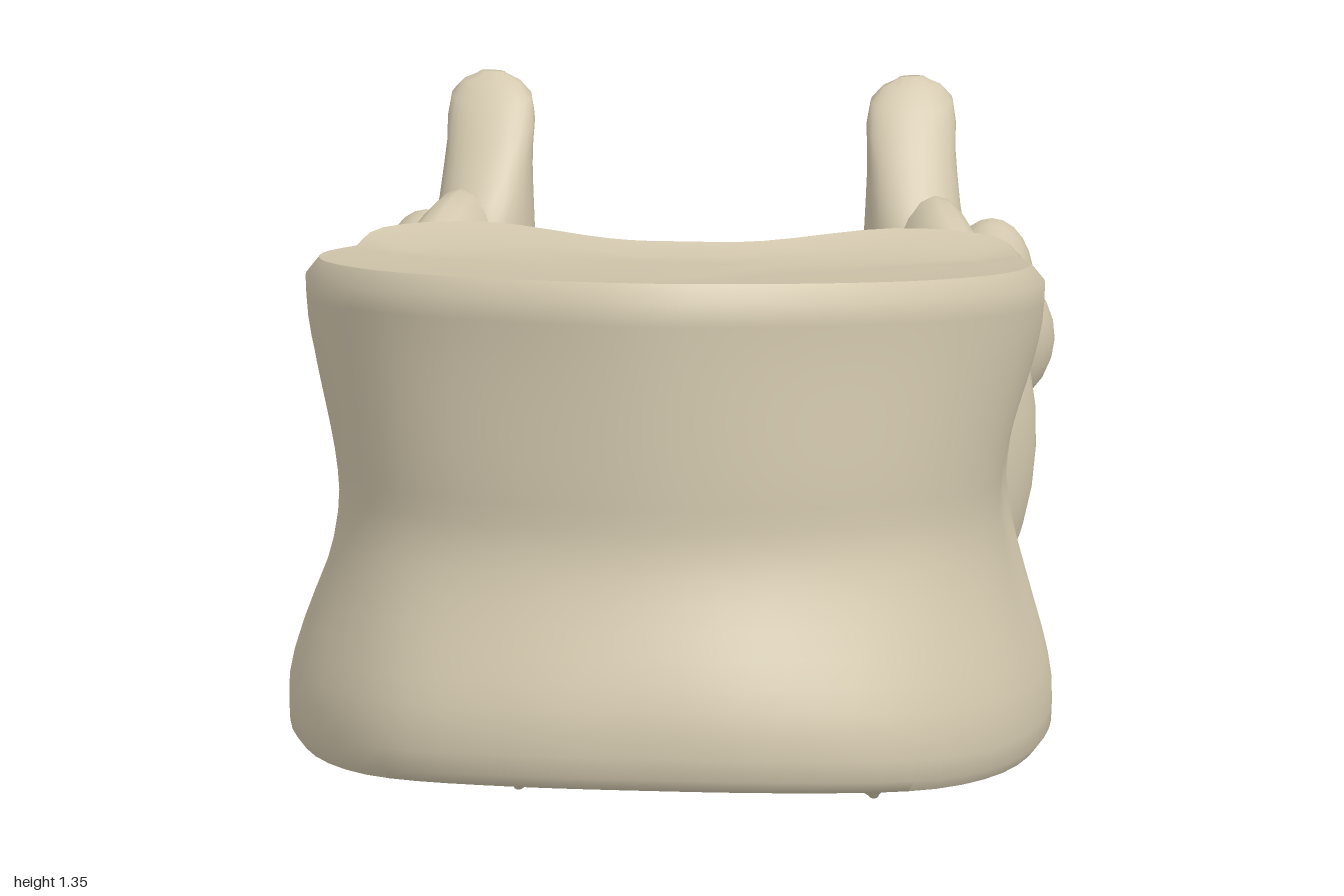
import * as THREE from 'three';
import { toCreasedNormals } from 'three/addons/utils/BufferGeometryUtils.js';

const V = (x, y, z) => new THREE.Vector3(x, y, z);

// Skin a list of closed rings, close both ends, and make the faces point outwards
function loft(rings, crease = 0.8) {
  const n = rings[0].length, pts = rings.flat(), idx = [];
  for (let r = 0; r < rings.length - 1; r++) {
    for (let i = 0; i < n; i++) {
      const j = (i + 1) % n, a = r * n, b = a + n;
      idx.push(a + i, a + j, b + j, a + i, b + j, b + i);
    }
  }
  [0, rings.length - 1].forEach((r) => {
    const mid = V(0, 0, 0);
    rings[r].forEach((p) => mid.addScaledVector(p, 1 / n));
    const c = pts.push(mid) - 1;
    for (let i = 0; i < n; i++) {
      const a = r * n + i, b = r * n + (i + 1) % n;
      idx.push(c, ...(r ? [a, b] : [b, a]));
    }
  });
  let volume = 0;
  for (let i = 0; i < idx.length; i += 3) {
    volume += pts[idx[i]].dot(V(0, 0, 0).crossVectors(pts[idx[i + 1]], pts[idx[i + 2]]));
  }
  if (volume < 0) idx.reverse();
  const g = new THREE.BufferGeometry().setFromPoints(pts);
  g.setIndex(idx);
  return toCreasedNormals(g, crease);
}

// Rounded limb through sections [centre, half axis, other half axis]; side mirrors x,
// taper narrows the first axis towards the tip of the second
function limb(sections, { side = 1, round = 0.1, taper = 0 } = {}) {
  const curves = [0, 1, 2].map((k) => new THREE.CatmullRomCurve3(
    sections.map((s) => V(s[k][0] * side, s[k][1], s[k][2])), false, 'catmullrom', 0.5));
  const ends = [0, 0.05, 0.2, 0.5].map((e) => e * round), ts = [...ends];
  for (let i = 0; i <= 16; i++) ts.push(round + (1 - 2 * round) * i / 16);
  ts.push(...ends.reverse().map((e) => 1 - e));
  return loft(ts.map((t) => {
    const [c, u, v] = curves.map((k) => k.getPoint(t));
    const e = Math.min(1, Math.min(t, 1 - t) / round);
    const s = Math.max(0.25, Math.sqrt(1 - (1 - e) ** 2));
    return Array.from({ length: 24 }, (_, i) => {
      const a = i / 24 * Math.PI * 2, w = 1 - taper * Math.sin(a);
      return c.clone().addScaledVector(u, s * w * Math.cos(a)).addScaledVector(v, s * Math.sin(a));
    });
  }), 1.2);
}

// Half outlines of the body, front to back, as [x, z]
const TOP = [[0, .905], [.2, .85], [.36, .73], [.47, .53], [.515, .3], [.505, .1], [.48, -.05], [.32, -.09], [.12, -.01], [0, 0]];
const WAIST = [[0, .91], [.2, .865], [.35, .75], [.44, .56], [.465, .32], [.48, .14], [.465, 0], [.32, -.03], [.12, .03], [0, .03]];
const BASE = [[0, 1], [.17, .985], [.34, .91], [.47, .73], [.535, .5], [.535, .3], [.46, .12], [.32, .08], [.14, .1], [0, .1]];

function outline(half) {
  const back = half.slice(1, -1).reverse().map(([x, z]) => [-x, z]);
  const curve = new THREE.CatmullRomCurve3([...half, ...back].map(([x, z]) => V(x, 0, z)), true, 'catmullrom', 0.5);
  return Array.from({ length: 72 }, (_, i) => curve.getPoint(i / 72));
}

function bodyGeometry() {
  const [top, waist, base] = [TOP, WAIST, BASE].map(outline);
  const topY = ({ z }) => Math.max(1.115 + 0.25 * z, 1.13);
  const baseY = ({ x, z }) => 0.475 + 0.07 * z + 0.175 * z * z + 0.4 * Math.max(0, Math.abs(x) - 0.35) ** 2;
  const ring = (t) => waist.map((w, i) => {
    const end = t > 0.5 ? top[i] : base[i];
    const p = w.clone().lerp(end, THREE.MathUtils.smoothstep(Math.abs(t - 0.5), 0, 0.42));
    p.y = THREE.MathUtils.lerp(baseY(base[i]), topY(top[i]), t);
    return p;
  });
  // End plates: rings drawn in towards the middle, slightly dished
  const plate = (src, yOf, s, dip) => src.map((p) => {
    const q = V(p.x * s, 0, 0.42 + (p.z - 0.42) * s);
    q.y = yOf(q) + dip;
    return q;
  });
  const rings = [];
  for (const s of [0.05, 0.3, 0.6, 0.85]) rings.push(plate(base, baseY, s, 0.02 * (1 - s)));
  rings.push(plate(base, baseY, 0.98, -0.003));
  for (let i = 0; i <= 20; i++) rings.push(ring(0.02 + 0.95 * i / 20));
  rings.push(plate(top, topY, 0.96, 0.006));
  for (const s of [0.85, 0.6, 0.3, 0.05]) rings.push(plate(top, topY, s, -0.02 * (1 - s)));
  return loft(rings);
}

// Paired parts, given for the +x side
const PAIRED = {
  pedicle: [
    [[.38, .84, .26], [.06, 0, 0], [0, .2, 0]],
    [[.415, .85, .12], [.105, 0, 0], [0, .25, 0]],
    [[.41, .86, .02], [.105, 0, 0], [0, .24, 0]],
    [[.405, .885, -.1], [.1, 0, 0], [0, .215, 0]],
    [[.38, .915, -.22], [.09, 0, 0], [0, .215, 0]],
    [[.36, .93, -.38], [.085, 0, 0], [0, .19, 0]],
  ],
  articularColumn: [
    [[.3, .085, -.27], [.035, .005, .01], [0, .015, .09]],
    [[.275, .2, -.285], [.07, .02, .045], [0, .02, .125]],
    [[.235, .36, -.315], [.07, 0, .01], [0, 0, .095]],
    [[.23, .55, -.315], [.07, 0, 0], [0, 0, .095]],
    [[.3, .74, -.315], [.085, 0, 0], [0, 0, .125]],
    [[.345, .95, -.325], [.09, 0, 0], [0, 0, .13]],
    [[.34, 1.1, -.335], [.075, 0, 0], [0, -.03, .115]],
    [[.335, 1.2, -.375], [.07, 0, -.01], [0, -.03, .075]],
    [[.335, 1.285, -.415], [.08, 0, -.01], [0, 0, .035]],
  ],
  transverseProcess: [
    [[.36, .9, -.17], [.08, 0, 0], [0, .12, 0]],
    [[.44, .885, -.32], [.115, 0, .03], [0, .14, 0]],
    [[.465, .865, -.42], [.11, 0, .02], [0, .11, 0]],
    [[.475, .875, -.53], [.075, 0, 0], [0, .105, -.02]],
    [[.48, .9, -.64], [.075, 0, 0], [0, .105, -.03]],
  ],
};

// Arched plate behind the canal, from one side to the other: [x, top, bottom, front z, back z, lean]
const LAMINA = [[.305, .87, .3, -.21, -.39, .03], [.24, .81, .125, -.215, -.41, .045], [.13, .75, .2, -.255, -.46, .03], [0, .71, .245, -.3, -.54, .02]];
const laminaSections = [...LAMINA, ...LAMINA.slice(0, -1).reverse().map(([x, ...r]) => [-x, ...r])]
  .map(([x, t, b, f, k, lean]) => [[x, (t + b) / 2, (f + k) / 2], [0, (t - b) / 2, -lean], [0, 0, (f - k) / 2]]);

// Rear spine: [top z, top y, bottom z, bottom y, half width]
const spineSections = [
  [-.33, .73, -.33, .25, .24], [-.45, .71, -.43, .205, .19], [-.57, .655, -.54, .195, .12], [-.69, .575, -.66, .175, .065],
  [-.8, .455, -.75, .11, .052], [-.92, .37, -.835, .025, .058], [-.985, .3, -.9, -.005, .05], [-1.0, .22, -.95, .02, .04],
].map(([tz, ty, bz, by, w]) => [[0, (ty + by) / 2, (tz + bz) / 2], [w, 0, 0], [0, (ty - by) / 2, (tz - bz) / 2]]);

export function createModel() {
  const group = new THREE.Group();
  const bone = new THREE.MeshStandardMaterial({ color: 0xd3c8ae });
  bone.name = 'bone';
  const add = (name, geometry) => {
    const mesh = new THREE.Mesh(geometry, bone);
    mesh.name = name;
    group.add(mesh);
  };
  add('body', bodyGeometry());
  add('lamina', limb(laminaSections, { round: 0.04 }));
  add('spinousProcess', limb(spineSections, { round: 0.08, taper: 0.4 }));
  for (const [name, sections] of Object.entries(PAIRED)) {
    add(name + 'Left', limb(sections));
    add(name + 'Right', limb(sections, { side: -1 }));
  }
  return group;
}
